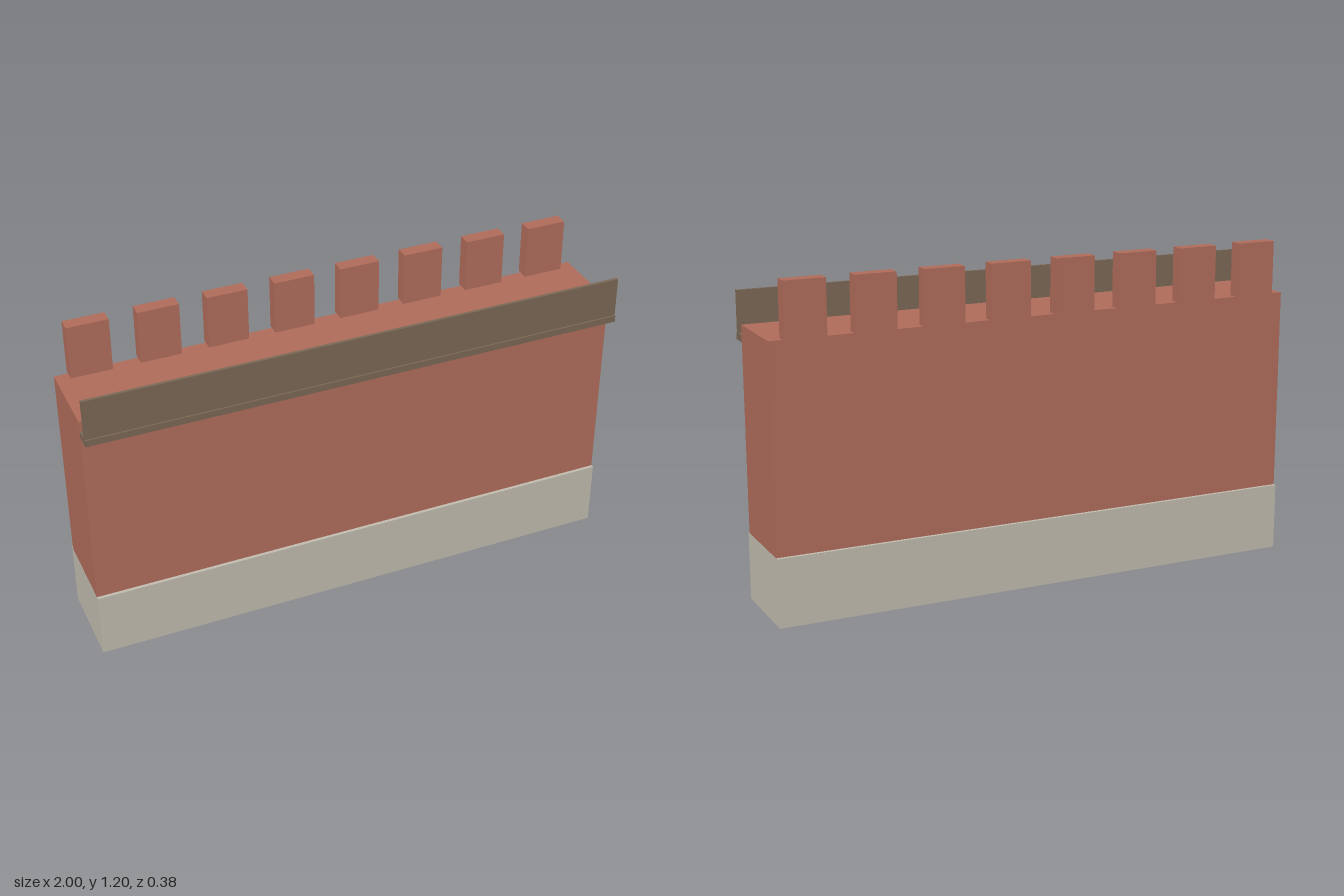
import * as THREE from 'three';

export function createModel() {
  const group = new THREE.Group();
  const material = (name, color) => {
    const m = new THREE.MeshStandardMaterial({ color });
    m.name = name;
    return m;
  };
  const brick = material('red brick', 0xb06c5b);
  const stone = material('pale stone', 0xc1bcae);
  const wood = material('brown wood', 0x7c6856);

  // Box given by its limits on each axis
  const box = (name, mat, [x0, x1], [y0, y1], [z0, z1]) => {
    const mesh = new THREE.Mesh(new THREE.BoxGeometry(x1 - x0, y1 - y0, z1 - z0), mat);
    mesh.position.set((x0 + x1) / 2, (y0 + y1) / 2, (z0 + z1) / 2);
    mesh.name = name;
    group.add(mesh);
  };

  const full = [-1, 1];
  box('foundation', stone, full, [0, 0.25], [-0.185, 0.14]);
  box('wall', brick, full, [0.25, 1], [-0.1725, 0.1275]);

  // Walkway ledge with its upright guard board
  box('ledge', wood, full, [0.9375, 0.9625], [0.1275, 0.1875]);
  box('guardBoard', wood, full, [0.9625, 1.1125], [0.17, 0.1815]);

  // Merlons overhanging the back of the wall slightly
  for (let i = 0; i < 8; i++) {
    const x = -0.95 + i * 0.25;
    box('merlon' + (i + 1), brick, [x, x + 0.15], [1, 1.2], [-0.1875, -0.1375]);
  }
  return group;
}
